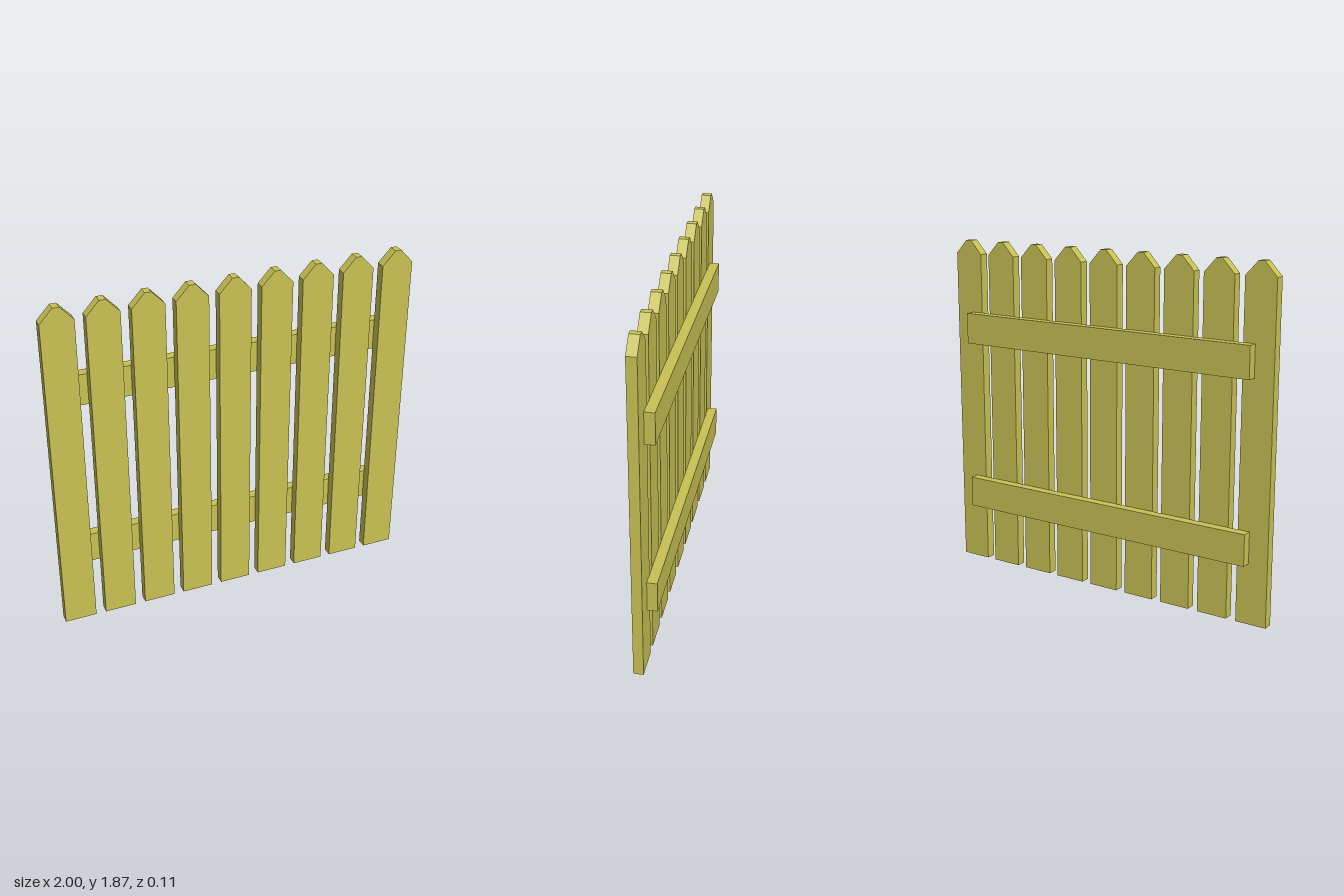
import * as THREE from 'three';

const COUNT = 9;
const WIDTH = 0.173;
const DEPTH = 0.053;
const SHOULDER = 1.79;
const TOP = 1.865;
const TIP = 0.017; // half-width of the blunt tip

export function createModel() {
  const group = new THREE.Group();
  group.name = 'picketFence';
  const wood = new THREE.MeshStandardMaterial({ color: 0xc8c154, flatShading: true });

  // Upright board with a blunted point
  const h = WIDTH / 2;
  const outline = new THREE.Shape([
    [-h, 0], [h, 0], [h, SHOULDER], [TIP, TOP], [-TIP, TOP], [-h, SHOULDER],
  ].map(([x, y]) => new THREE.Vector2(x, y)));
  const picketGeometry = new THREE.ExtrudeGeometry(outline, { depth: DEPTH, bevelEnabled: false });

  // Row of evenly spaced pickets
  const pitch = (2 - WIDTH) / (COUNT - 1);
  for (let i = 0; i < COUNT; i++) {
    const picket = new THREE.Mesh(picketGeometry, wood);
    picket.name = `picket${i + 1}`;
    picket.position.x = (i - (COUNT - 1) / 2) * pitch;
    group.add(picket);
  }

  // Two rails across the back
  const railGeometry = new THREE.BoxGeometry(1.786, 0.171, DEPTH);
  for (const [name, y] of [['lowerRail', 0.414], ['upperRail', 1.376]]) {
    const rail = new THREE.Mesh(railGeometry, wood);
    rail.name = name;
    rail.position.set(0, y, -DEPTH / 2);
    group.add(rail);
  }

  return group;
}
